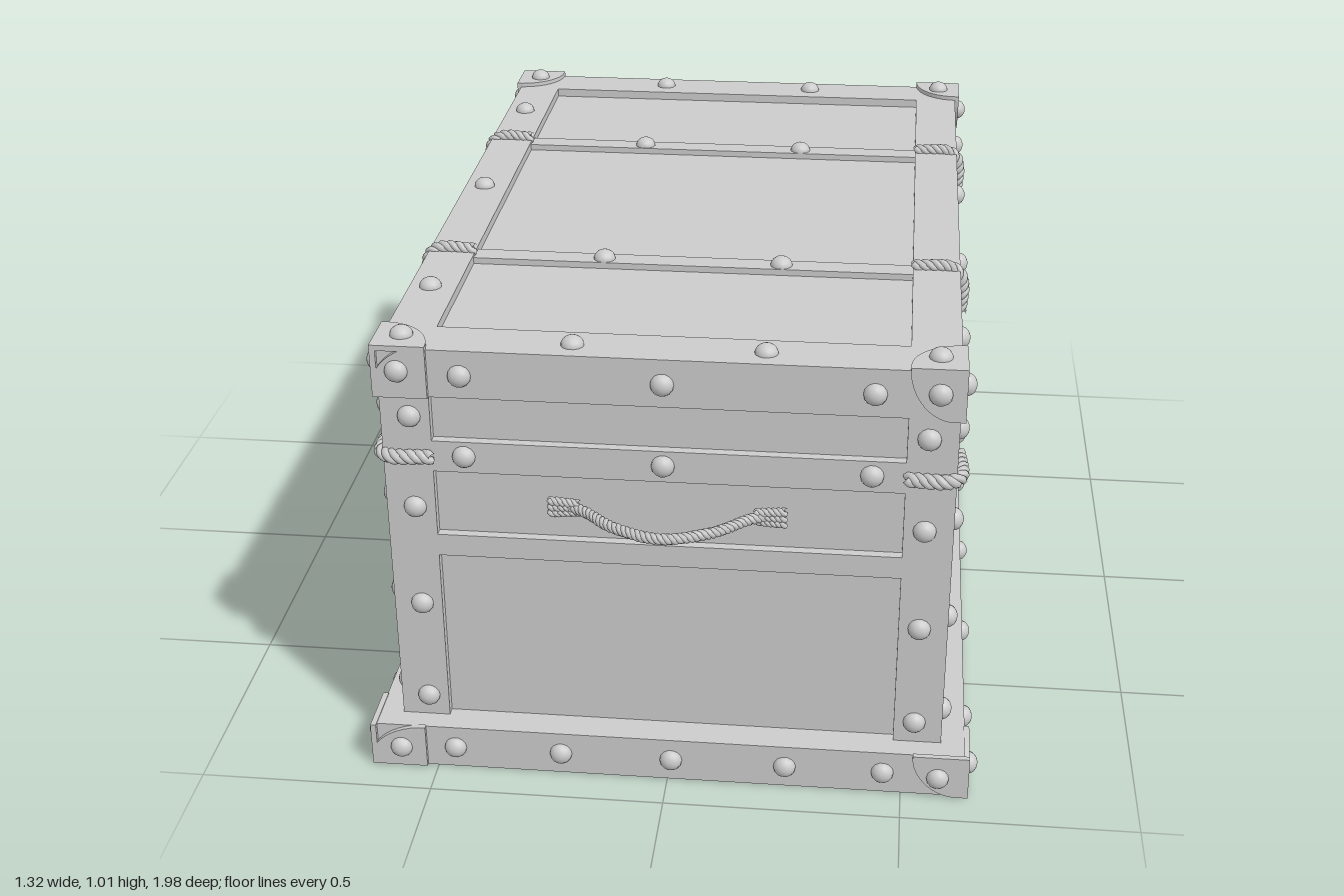
import * as THREE from 'three';

const X = 0.582, Z = 0.867, TOP = 0.98, BASE = 0.1, RECESS = 0.02;
const BX = 0.633, BZ = 0.915;
const V = (x, y, z) => new THREE.Vector3(x, y, z);
const material = new THREE.MeshStandardMaterial({ color: 0xcccccc, roughness: 0.8 });
const rivetGeometry = new THREE.SphereGeometry(0.024, 14, 6, 0, Math.PI * 2, 0, Math.PI / 2).scale(1, 0.85, 1);

function add(parent, geometry, name, x = 0, y = 0, z = 0) {
  const mesh = new THREE.Mesh(geometry, material);
  mesh.name = name;
  mesh.position.set(x, y, z);
  parent.add(mesh);
  return mesh;
}

// box given by its minimum and maximum corners
function box(parent, name, x0, x1, y0, y1, z0, z1) {
  return add(parent, new THREE.BoxGeometry(x1 - x0, y1 - y0, z1 - z0), name,
    (x0 + x1) / 2, (y0 + y1) / 2, (z0 + z1) / 2);
}

// dome rivet on a surface facing +z, or facing up
function rivet(parent, x, y, z, up = false) {
  const m = add(parent, rivetGeometry, 'rivet', x, y, z);
  if (!up) m.rotation.x = Math.PI / 2;
}

// twisted rope: strands winding around a path
function rope(parent, name, path, radius, twists, strands = 3, steps = 70) {
  const group = new THREE.Group();
  group.name = name;
  const frames = path.computeFrenetFrames(steps, false);
  for (let s = 0; s < strands; s++) {
    const points = [];
    for (let i = 0; i <= steps; i++) {
      const a = (i / steps * twists + s / strands) * Math.PI * 2;
      points.push(path.getPointAt(i / steps)
        .addScaledVector(frames.normals[i], Math.cos(a) * radius * 0.5)
        .addScaledVector(frames.binormals[i], Math.sin(a) * radius * 0.5));
    }
    add(group, new THREE.TubeGeometry(new THREE.CatmullRomCurve3(points), steps, radius * 0.55, 6), 'strand');
  }
  parent.add(group);
}

// three-sided metal corner; its outer corner is at the local origin
function metalCorner(w, h, t) {
  const group = new THREE.Group();
  group.name = 'metalCorner';
  const plate = (a, b) => {
    const s = new THREE.Shape();
    s.moveTo(0, 0);
    s.lineTo(-a, 0);
    s.lineTo(-a, -b * 0.12);
    s.bezierCurveTo(-a * 0.95, -b * 0.6, -a * 0.6, -b * 0.98, -a * 0.25, -b);
    s.lineTo(0, -b);
    s.closePath();
    return new THREE.ExtrudeGeometry(s, { depth: t, bevelEnabled: false, curveSegments: 10 });
  };
  add(group, plate(w, h), 'plate', 0, 0, -t);
  // side plate: turned a quarter, then rolled so its straight edges meet the corner
  const side = plate(h, w).rotateZ(Math.PI / 2).scale(1, 1, 1);
  side.rotateY(Math.PI / 2).translate(-t, 0, 0);
  side.rotateX(Math.PI);
  side.translate(0, 0, 0);
  side.computeBoundingBox();
  const b = side.boundingBox;
  side.translate(-b.max.x, -b.max.y, -b.max.z);
  add(group, side, 'plate');
  return group;
}

// top cap of a corner, lying flat
function cornerCap(w, t) {
  const s = new THREE.Shape();
  s.moveTo(0, 0);
  s.lineTo(0, w);
  s.lineTo(-w * 0.12, w);
  s.bezierCurveTo(-w * 0.6, w * 0.95, -w * 0.98, w * 0.6, -w, w * 0.12);
  s.lineTo(-w, 0);
  s.closePath();
  return new THREE.ExtrudeGeometry(s, { depth: t, bevelEnabled: false, curveSegments: 10 }).rotateX(-Math.PI / 2);
}

// scrollwork for the long sides, mirrored about its middle
function scrollwork(parent, d) {
  const group = new THREE.Group();
  group.name = 'scrollwork';
  group.position.z = d;
  const tube = (pts, r) => {
    const curve = new THREE.CatmullRomCurve3(pts.map(([x, y]) => V(x, y, 0.002)));
    add(group, new THREE.TubeGeometry(curve, pts.length * 4, r, 6), 'scroll');
  };
  // stem running into a spiral around (cx, cy)
  const curl = (m, stem, cx, cy, r, start, dir, thick = 0.006) => {
    const pts = stem.map(([x, y]) => [x * m, y]);
    for (let i = 0; i <= 10; i++) {
      const a = start + dir * i * 0.75, q = r * (1 - i * 0.075);
      pts.push([(cx + Math.cos(a) * q) * m, cy + Math.sin(a) * q]);
    }
    tube(pts, thick);
  };
  const leaf = (x, y, a) => {
    const l = add(group, new THREE.SphereGeometry(0.013, 8, 6), 'leaf', x, y, 0.002);
    l.scale.set(1.3, 0.5, 0.5);
    l.rotation.z = a;
  };
  for (const m of [-1, 1]) {
    curl(m, [[0.003, 0.53], [0.006, 0.57]], 0.025, 0.6, 0.018, Math.PI, -1, 0.007);
    curl(m, [[0.003, 0.53], [0.006, 0.49]], 0.027, 0.458, 0.02, Math.PI, 1, 0.007);
    curl(m, [[0.004, 0.55], [0.03, 0.556], [0.07, 0.556]], 0.09, 0.568, 0.014, -1.5, 1);
    curl(m, [[0.08, 0.557], [0.11, 0.558]], 0.132, 0.57, 0.014, -1.5, 1);
    curl(m, [[0.23, 0.557], [0.21, 0.556]], 0.195, 0.567, 0.012, -1.5, -1);
    leaf(m * 0.165, 0.56, m * 0.3);
    leaf(m * 0.225, 0.558, -m * 0.3);
    const wave = [];
    for (let i = 0; i <= 16; i++) wave.push([m * (0.02 + i * 0.026), 0.503 + 0.004 * Math.sin(i * 1.6)]);
    tube(wave, 0.005);
    for (let i = 0; i < 5; i++) {
      const x = 0.1 + i * 0.075;
      curl(m, [[x - 0.03, 0.505]], x, 0.505, 0.009, Math.PI, i % 2 ? 1 : -1, 0.004);
      leaf(m * (x + 0.035), 0.5, m * (i % 2 ? 0.4 : -0.4));
    }
    curl(m, [[0.43, 0.503]], 0.453, 0.506, 0.01, Math.PI, 1, 0.005);
  }
  parent.add(group);
}

// carrying handle: knotted ends and a rope bow
function handle(parent, d) {
  const y = 0.637;
  const bow = new THREE.CatmullRomCurve3([[-0.2, 0], [-0.165, 0.02], [-0.1, 0.075], [0, 0.11],
    [0.1, 0.075], [0.165, 0.02], [0.2, 0]].map(([x, z]) => V(x, y, d + z)));
  rope(parent, 'ropeHandle', bow, 0.012, 14, 3, 110);
  for (const m of [-1, 1])
    for (const k of [-1, 0, 1])
      rope(parent, 'handleKnot', new THREE.LineCurve3(V(m * 0.18, y + k * 0.009, d + 0.004),
        V(m * 0.243, y + k * 0.014, d + 0.004)), 0.01, 2, 3, 16);
}

// rails and rivets of one wall, built facing +z
function wall(name, d, half, inner, baseD, upper, middle, base, post) {
  const group = new THREE.Group();
  group.name = name;
  for (const [y0, y1] of [[0.505, 0.555], [0.705, 0.775], [0.875, TOP - 0.001]])
    box(group, 'rail', -inner, inner, y0, y1, d - RECESS - 0.01, d);
  for (const u of upper) rivet(group, u, 0.925, d);
  for (const u of middle) rivet(group, u, 0.742, d);
  for (const u of base) rivet(group, u, 0.05, baseD);
  for (const m of [-1, 1]) {
    for (const y of [0.83, 0.62, 0.385, 0.15]) rivet(group, m * post, y, d);
    rivet(group, m * (half - 0.042), 0.935, d + 0.009);
    rivet(group, m * (half - 0.005), 0.05, baseD + 0.009);
  }
  return group;
}

export function createModel() {
  const model = new THREE.Group();
  model.name = 'trunk';

  box(model, 'base', -BX, BX, 0, BASE, -BZ, BZ);
  box(model, 'panels', -X + RECESS, X - RECESS, BASE, TOP - RECESS, -Z + RECESS, Z - RECESS);

  // lid frame, cross bars and their rope lashings
  for (const m of [-1, 1]) {
    box(model, 'lidSideFrame', m > 0 ? 0.48 : -X, m > 0 ? X : -0.48, TOP - RECESS - 0.01, TOP, -Z, Z);
    box(model, 'lidEndFrame', -0.48, 0.48, TOP - RECESS - 0.01, TOP, m > 0 ? 0.757 : -Z, m > 0 ? Z : -0.757);
    box(model, 'lidCrossBar', -0.48, 0.48, TOP - RECESS - 0.01, TOP - 0.006, m * 0.362 - 0.025, m * 0.362 + 0.025);
    for (const x of [-0.193, 0.195]) {
      rivet(model, x, TOP - 0.006, m * 0.362, true);
      rivet(model, x, TOP, m * 0.815, true);
    }
    for (const n of [-1, 1])
      rope(model, 'lidLashing', new THREE.CatmullRomCurve3([V(n * 0.48, TOP + 0.004, m * 0.362),
        V(n * (X - 0.02), TOP + 0.004, m * 0.362), V(n * (X + 0.004), TOP - 0.02, m * 0.362),
        V(n * (X + 0.004), 0.88, m * 0.362)]), 0.014, 4, 3, 50);
  }
  for (const z of [-0.575, -0.03, 0.56]) rivet(model, -0.537, TOP, z, true);

  // walls
  for (const turn of [0, Math.PI]) {
    const end = wall(turn ? 'backWall' : 'frontWall', Z, X, 0.48, BZ,
      [-0.415, -0.008, 0.413], [-0.415, -0.008, 0.413], [-0.46, -0.23, 0.008, 0.252, 0.46], 0.523);
    handle(end, Z);
    end.rotation.y = turn;
    const side = wall(turn ? 'rightWall' : 'leftWall', X, Z, 0.757, BX,
      [-0.59, -0.2, 0.22, 0.573], [-0.665, -0.235, 0.25, 0.65], [-0.695, -0.355, 0.01, 0.358, 0.68], 0.81);
    scrollwork(side, X);
    side.rotation.y = Math.PI / 2 + turn;
    model.add(end, side);
  }

  // corner posts, metal corners and corner ropes
  [[1, 1], [1, -1], [-1, -1], [-1, 1]].forEach(([sx, sz], i) => {
    box(model, 'cornerPost', Math.min(sx * 0.48, sx * X), Math.max(sx * 0.48, sx * X), BASE, TOP - 0.002,
      Math.min(sz * 0.757, sz * Z), Math.max(sz * 0.757, sz * Z));
    const lid = metalCorner(0.112, 0.115, 0.012);
    add(lid, cornerCap(0.112, 0.012), 'cap', 0, -0.012, 0);
    lid.position.set(sx * (X + 0.01), TOP + 0.01, sz * (Z + 0.01));
    const foot = metalCorner(0.12, 0.1, 0.012);
    foot.position.set(sx * (BX + 0.01), BASE + 0.002, sz * (BZ + 0.01));
    lid.rotation.y = foot.rotation.y = i * Math.PI / 2;
    model.add(lid, foot);
    rivet(model, sx * 0.538, TOP + 0.01, sz * 0.822, true);
    rope(model, 'cornerRope', new THREE.CatmullRomCurve3([V(sx * 0.48, 0.74, sz * (Z + 0.004)),
      V(sx * (X - 0.015), 0.74, sz * (Z + 0.006)), V(sx * (X + 0.006), 0.74, sz * (Z - 0.015)),
      V(sx * (X + 0.004), 0.74, sz * 0.755)]), 0.016, 4, 3, 50);
  });
  return model;
}
